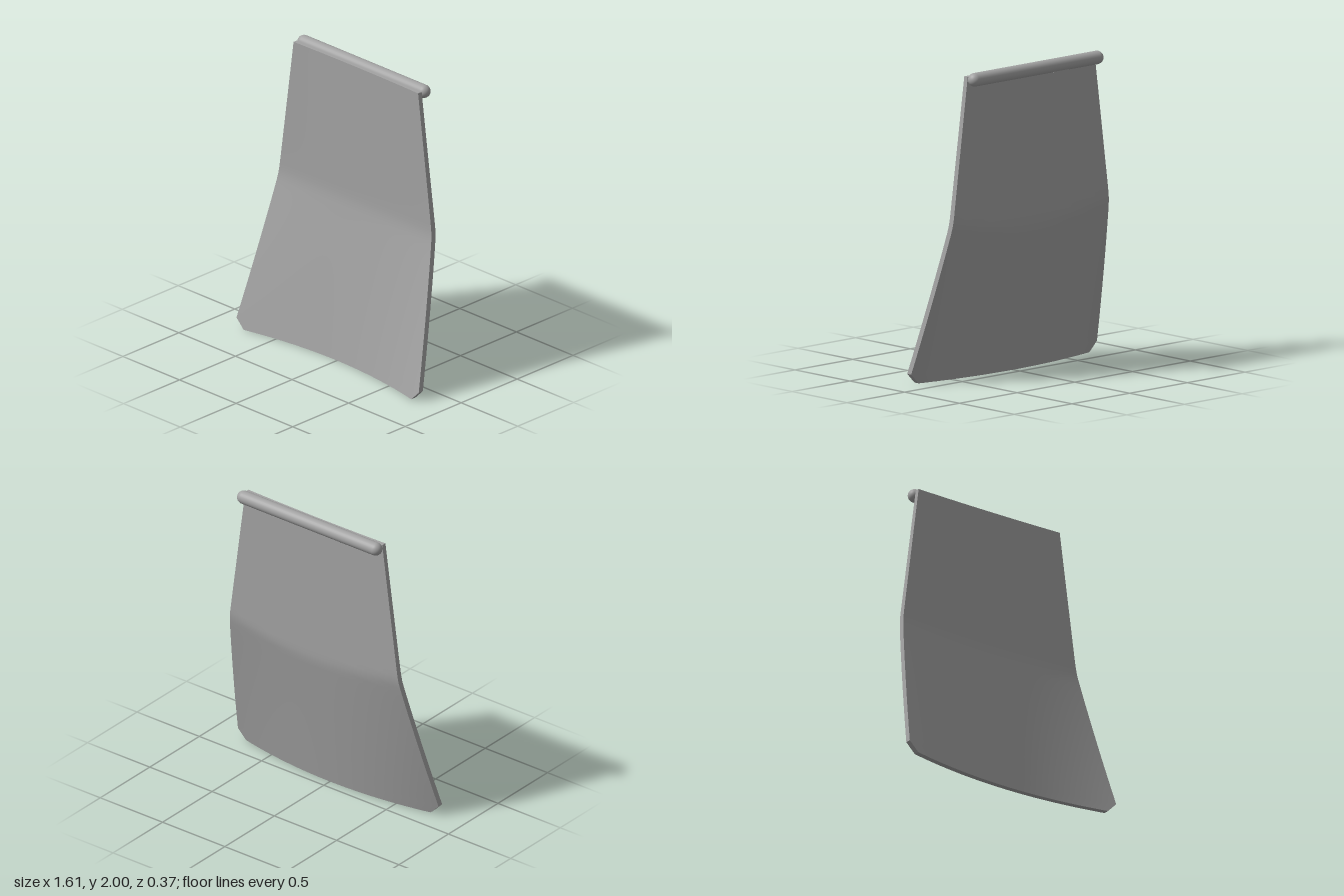
import * as THREE from 'three';

const TOP = 1.972, CHAMFER = 0.065, BEND = 1.03, THICK = 0.037, BACK = -0.102;
const COLS = 32;

// Half width of the tapered plate, with clipped lower corners
function halfWidth(y) {
  if (y < CHAMFER) return 0.74 + (0.065 * y) / CHAMFER;
  return 0.805 - (0.255 * (y - CHAMFER)) / (TOP - CHAMFER);
}

// Front surface: nearly flat above the bend, flaring and curving forward below it
function frontZ(x, y) {
  const s = (BEND - y) / BEND;
  const t = 0.5 * (s + Math.sqrt(s * s + 0.0012));
  return -0.079 + 0.177 * t + (0.028 + 0.127 * t) * x * x;
}

// Back surface follows the front but is cut flat behind the upper half
const backZ = (x, y) => Math.max(frontZ(x, y) - THICK, BACK);

function makeGeometry(points, index) {
  const g = new THREE.BufferGeometry();
  g.setAttribute('position', new THREE.Float32BufferAttribute(points.flat(), 3));
  if (index) g.setIndex(index);
  g.computeVertexNormals();
  return g;
}

// Heights of the cross-sections, including the chamfer row
const rows = [0, CHAMFER];
for (let i = 1; i <= 48; i++) rows.push(CHAMFER + ((TOP - CHAMFER) * i) / 48);

function faceGeometry(zAt, flip) {
  const points = [], index = [], n = COLS + 1;
  rows.forEach((y, j) => {
    for (let i = 0; i <= COLS; i++) {
      const x = ((2 * i) / COLS - 1) * halfWidth(y);
      points.push([x, y, zAt(x, y)]);
      if (i < COLS && j < rows.length - 1) {
        const a = j * n + i, b = a + 1, c = b + n, d = a + n;
        index.push(...(flip ? [a, c, b, a, d, c] : [a, b, c, a, c, d]));
      }
    }
  });
  return makeGeometry(points, index);
}

// Thin rim joining the front and back around the outline
function rimGeometry() {
  const loop = [];
  for (let i = 0; i < COLS; i++) loop.push([((2 * i) / COLS - 1) * halfWidth(0), 0]);
  rows.forEach(y => loop.push([halfWidth(y), y]));
  for (let i = 1; i < COLS; i++) loop.push([(1 - (2 * i) / COLS) * halfWidth(TOP), TOP]);
  [...rows].reverse().forEach(y => loop.push([-halfWidth(y), y]));
  const points = [];
  loop.forEach((p, i) => {
    const q = loop[(i + 1) % loop.length];
    const fp = [...p, frontZ(...p)], bp = [...p, backZ(...p)];
    const fq = [...q, frontZ(...q)], bq = [...q, backZ(...q)];
    points.push(fp, bp, bq, fp, bq, fq);
  });
  return makeGeometry(points);
}

export function createModel() {
  const model = new THREE.Group();
  model.name = 'curvedFlap';
  const grey = new THREE.MeshStandardMaterial({ color: 0xa3a3a3 });
  grey.name = 'grey';

  const add = (name, geometry, parent = model) => {
    const mesh = new THREE.Mesh(geometry, grey);
    mesh.name = name;
    parent.add(mesh);
    return mesh;
  };

  // Bent plate
  const plate = new THREE.Group();
  plate.name = 'plate';
  model.add(plate);
  add('plateFront', faceGeometry(frontZ, false), plate);
  add('plateBack', faceGeometry(backZ, true), plate);
  add('plateRim', rimGeometry(), plate);

  // Round-ended bar along the top of the back
  const bar = add('topBar', new THREE.CapsuleGeometry(0.043, 1.058, 10, 28));
  bar.rotation.z = Math.PI / 2;
  bar.position.set(0, 1.957, -0.143);

  // Small tab under the bar
  const tab = add('barTab', new THREE.BoxGeometry(0.13, 0.03, 0.066));
  tab.position.set(-0.2, 1.931, -0.134);

  return model;
}
